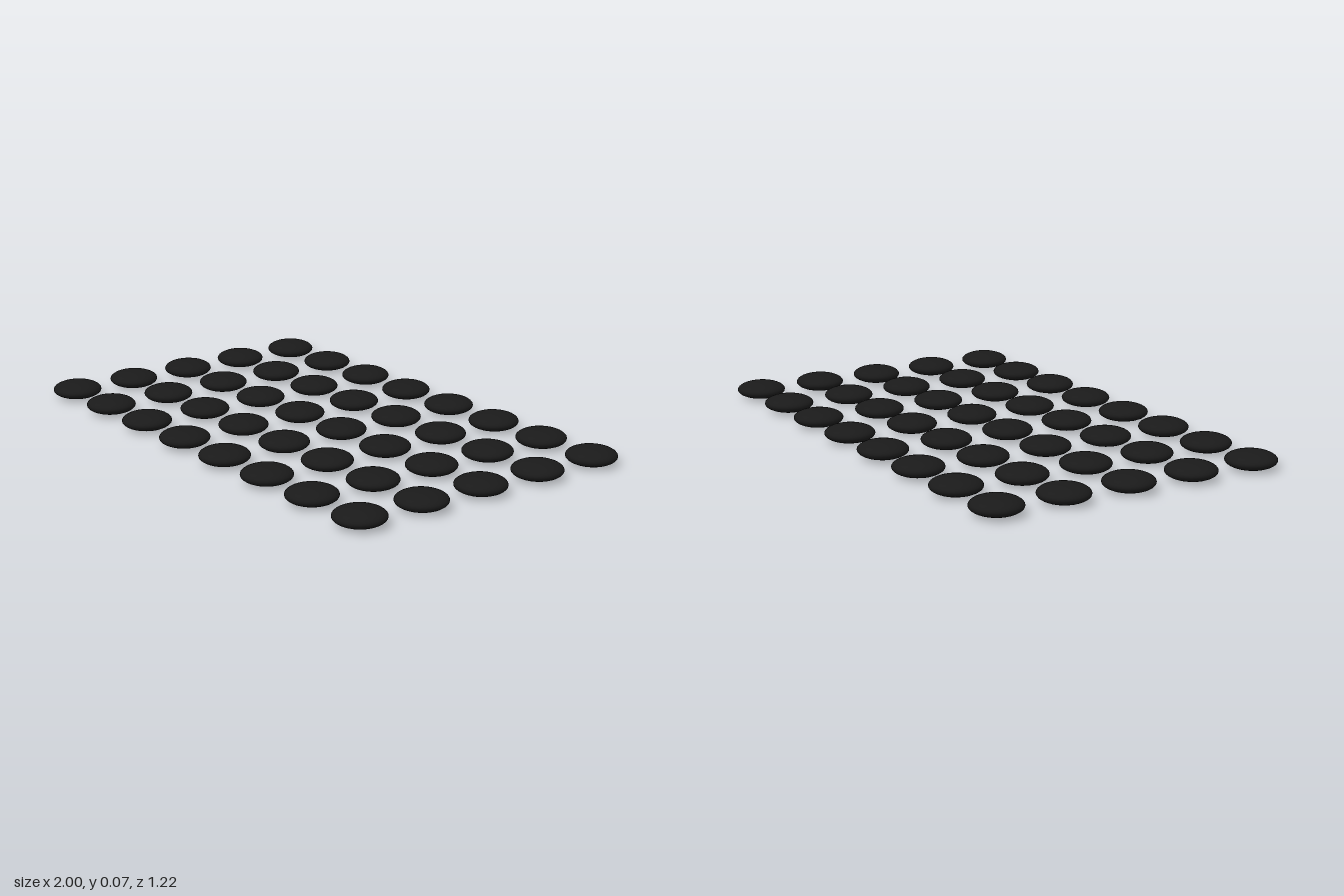
import * as THREE from 'three';

export function createModel() {
  const group = new THREE.Group();
  group.name = 'stoneGrid';
  const black = new THREE.MeshStandardMaterial({ color: 0x1a1a1a });
  black.name = 'black';

  const columns = 8, rows = 5, spacing = 0.259, radius = 0.0935, halfHeight = 0.033;

  // One flattened round stone, resting on the ground
  const stone = new THREE.SphereGeometry(radius, 32, 16);
  stone.scale(1, halfHeight / radius, 1);
  stone.translate(0, halfHeight, 0);

  // Regular grid of identical stones
  for (let r = 0; r < rows; r++) {
    for (let c = 0; c < columns; c++) {
      const mesh = new THREE.Mesh(stone, black);
      mesh.name = `stoneRow${r + 1}Column${c + 1}`;
      mesh.position.set((c - (columns - 1) / 2) * spacing, 0, (r - (rows - 1) / 2) * spacing);
      group.add(mesh);
    }
  }
  return group;
}
